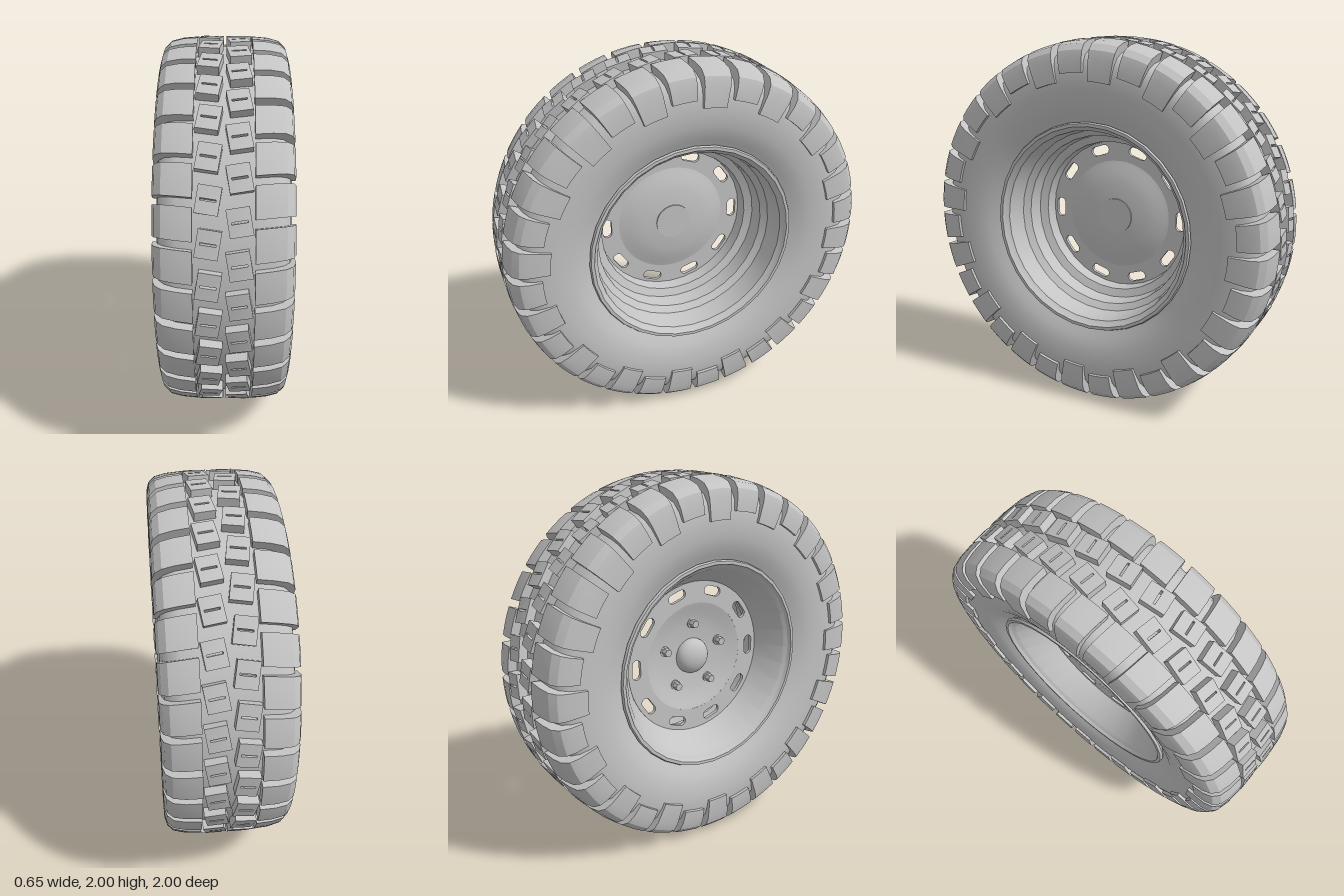
import * as THREE from 'three';
import { toCreasedNormals } from 'three/addons/utils/BufferGeometryUtils.js';

const PITCH = Math.PI * 2 / 32;

// Spin a list of [radius, x] points about the x axle
function turned(points, segments, crease) {
  const g = new THREE.LatheGeometry(points.map(p => new THREE.Vector2(p[0], p[1])), segments);
  g.rotateZ(-Math.PI / 2);
  return crease ? toCreasedNormals(g, crease) : g;
}

// Wrap a geometry round the axle: rule returns [x, radius, angle]
function wrap(g, rule) {
  const p = g.attributes.position;
  for (let i = 0; i < p.count; i++) {
    const [x, r, a] = rule(p.getX(i), p.getY(i), p.getZ(i));
    p.setXYZ(i, x, r * Math.cos(a), r * Math.sin(a));
  }
  return toCreasedNormals(g, 0.5);
}

function polygon(points, Type = THREE.Shape) {
  return new Type(points.map(p => new THREE.Vector2(p[0], p[1])));
}

// Slightly turned centre tread block with a slit through it
function centreBlock(s) {
  const turn = (u, v) => [s * (0.07 + u + 0.16 * v), -(v - 0.16 * u)];
  const rect = (w, h) => [turn(-w, -h), turn(w, -h), turn(w, h), turn(-w, h)];
  const shape = polygon(rect(0.053, 0.064));
  shape.holes.push(polygon(rect(0.036, 0.005), THREE.Path));
  const g = new THREE.ExtrudeGeometry(shape, { depth: 0.06, bevelEnabled: false });
  return wrap(g, (x, y, z) => [x, 0.94 + z, -y]);
}

// Shoulder block that folds over onto the sidewall down to radius low
function shoulderBlock(s, low) {
  const section = [
    [0.14, 0.997], [0.22, 0.99], [0.28, 0.975], [0.312, 0.945], [0.325, 0.9], [0.327, low],
    [0.295, low], [0.28, 0.88], [0.24, 0.925], [0.14, 0.94],
  ];
  const g = new THREE.ExtrudeGeometry(polygon(section.map(p => [s * p[0], p[1]])),
    { depth: 0.154, steps: 3, bevelEnabled: false });
  return wrap(g, (x, y, z) => [x, y, z - 0.077 - 0.1 * (Math.abs(x) - 0.25)]);
}

export function createModel() {
  const model = new THREE.Group();
  model.name = 'wheel';
  const grey = new THREE.MeshStandardMaterial({ color: 0xc4c4c4, side: THREE.DoubleSide });
  grey.name = 'light grey';
  const wheel = new THREE.Group();
  wheel.name = 'wheelAssembly';
  wheel.position.y = 1;
  model.add(wheel);
  const add = (name, geometry, parent = wheel) => {
    const mesh = new THREE.Mesh(geometry, grey);
    mesh.name = name;
    parent.add(mesh);
    return mesh;
  };

  // Tyre carcass, mirrored across the middle
  const half = [
    [0.565, 0.255], [0.6, 0.27], [0.64, 0.29], [0.69, 0.303], [0.75, 0.311], [0.82, 0.311],
    [0.88, 0.299], [0.92, 0.27], [0.942, 0.22], [0.95, 0.14],
  ];
  const carcass = [...half.map(p => [p[0], -p[1]]), [0.953, 0], ...half.slice().reverse()];
  add('tyreCarcass', turned(carcass, 96));

  // Tread: two staggered halves
  for (const s of [1, -1]) {
    const tread = new THREE.Group();
    tread.name = s > 0 ? 'leftTread' : 'rightTread';
    wheel.add(tread);
    const centre = centreBlock(s);
    const shoulders = [shoulderBlock(s, 0.832), shoulderBlock(s, 0.79)];
    const shift = s > 0 ? 0 : 0.5;
    for (let k = 0; k < 32; k++) {
      add('centreTreadBlock', centre, tread).rotation.x = (k + shift) * PITCH;
      add('shoulderTreadBlock', shoulders[k % 2], tread).rotation.x = (k + 0.5 + shift) * PITCH;
    }
  }

  // Rim: stepped on the deep side, conical on the bolt side
  add('rim', turned([
    [0.565, -0.25], [0.578, -0.27], [0.572, -0.283], [0.555, -0.283], [0.545, -0.265],
    [0.525, -0.25], [0.435, -0.1], [0.425, -0.08], [0.432, -0.01], [0.475, 0.01], [0.482, 0.1],
    [0.515, 0.13], [0.53, 0.25], [0.545, 0.265], [0.555, 0.283], [0.572, 0.283],
    [0.578, 0.27], [0.565, 0.25],
  ], 32, 0.4));

  // Outer ring of the disc with ten rounded slots
  const ring = new THREE.Shape().absarc(0, 0, 0.432, 0, Math.PI * 2);
  ring.holes.push(new THREE.Path().absarc(0, 0, 0.31, 0, Math.PI * 2, true));
  for (let i = 0; i < 10; i++) {
    const a = i * Math.PI / 5;
    const slot = [];
    for (let j = 0; j < 16; j++) {
      const b = (j + 0.5) * Math.PI / 8;
      const u = 0.38 + 0.026 * Math.cos(b);
      const v = 0.03 * Math.sign(Math.sin(b)) + 0.026 * Math.sin(b);
      slot.push([u * Math.cos(a) - v * Math.sin(a), u * Math.sin(a) + v * Math.cos(a)]);
    }
    ring.holes.push(polygon(slot, THREE.Path));
  }
  const ringGeometry = new THREE.ExtrudeGeometry(ring, { depth: 0.02, bevelEnabled: false, curveSegments: 32 });
  ringGeometry.rotateY(Math.PI / 2);
  const slotted = add('slottedRing', toCreasedNormals(ringGeometry, 0.5));
  slotted.position.x = -0.1;

  // Dished centre of the disc
  add('discCentre', turned([
    [0, -0.06], [0.18, -0.065], [0.25, -0.08], [0.29, -0.094], [0.312, -0.1],
    [0.312, -0.08], [0.29, -0.074], [0.25, -0.06], [0.18, -0.045], [0, -0.04],
  ], 48, 0.6));

  // Hub: flat plate on the deep side, dome on the bolt side
  add('hubPlate', turned([[0, -0.036], [0.1, -0.036], [0.1, -0.05]], 32, 0.5));
  const dome = [[0.1, -0.05]];
  for (let i = 0; i <= 8; i++) {
    const a = i * Math.PI / 16;
    dome.push([0.1 * Math.cos(a), -0.075 - 0.06 * Math.sin(a)]);
  }
  add('hubDome', turned(dome, 32));

  // Five wheel nuts on washers
  const nut = new THREE.CylinderGeometry(0.022, 0.022, 0.05, 6).toNonIndexed();
  nut.computeVertexNormals();
  const washer = toCreasedNormals(new THREE.CylinderGeometry(0.029, 0.029, 0.014, 16), 0.6);
  for (let i = 0; i < 5; i++) {
    const a = i * Math.PI * 2 / 5;
    for (const [name, g, x] of [['wheelNut', nut, -0.085], ['nutWasher', washer, -0.068]]) {
      const m = add(name, g);
      m.rotation.z = Math.PI / 2;
      m.position.set(x, 0.19 * Math.cos(a), 0.19 * Math.sin(a));
    }
  }
  return model;
}
